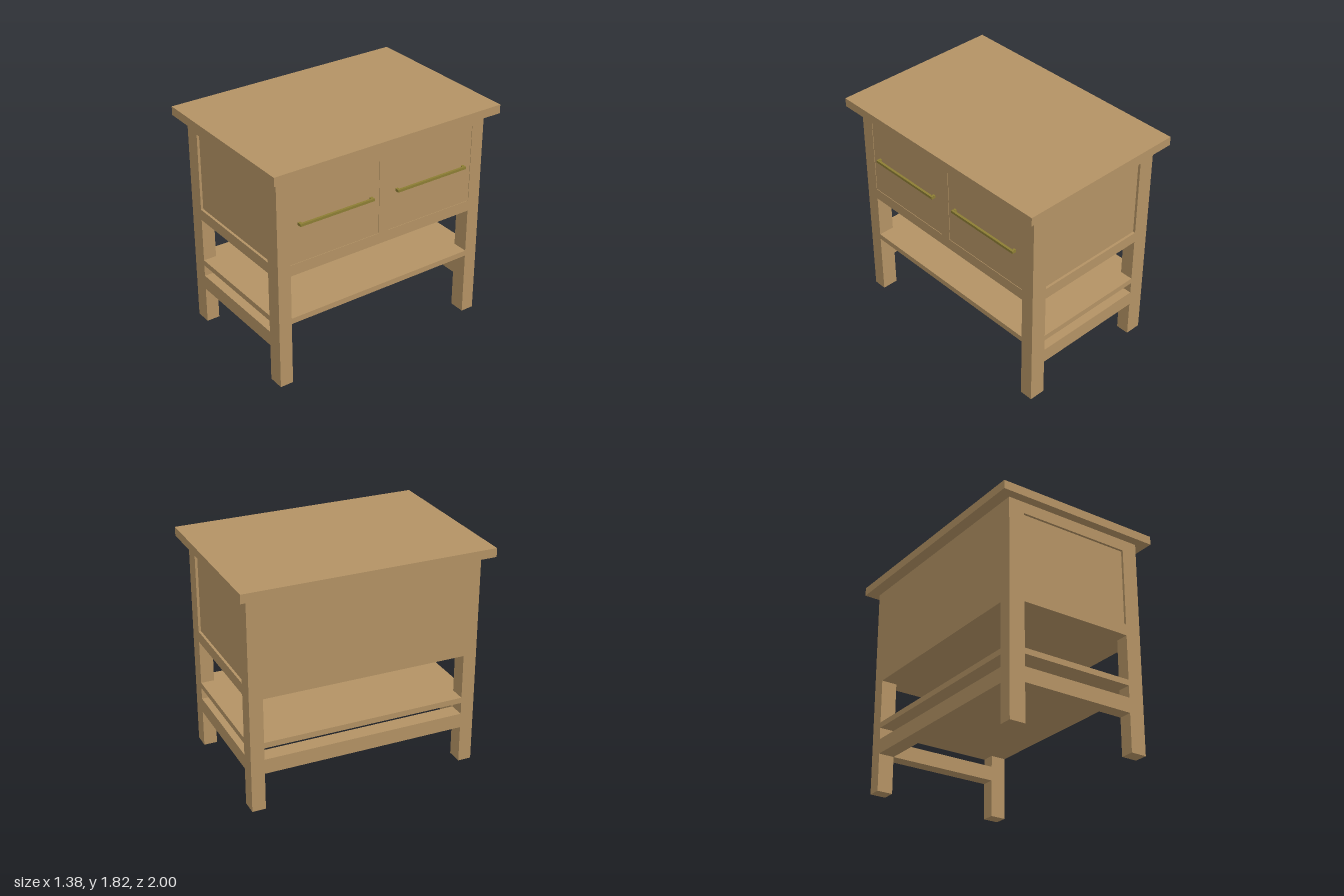
import * as THREE from 'three';

export function createModel() {
  const wood = new THREE.MeshStandardMaterial({ color: 0xb39264 });
  wood.name = 'wood';
  const brass = new THREE.MeshStandardMaterial({ color: 0x8c7d34 });
  brass.name = 'brass';

  const model = new THREE.Group();
  model.name = 'sideTable';

  // Box given by its limits on each axis
  function box(name, [x0, x1], [y0, y1], [z0, z1], material = wood, parent = model) {
    const mesh = new THREE.Mesh(new THREE.BoxGeometry(x1 - x0, y1 - y0, z1 - z0), material);
    mesh.position.set((x0 + x1) / 2, (y0 + y1) / 2, (z0 + z1) / 2);
    mesh.name = name;
    parent.add(mesh);
  }
  // Range on the positive or negative side of an axis
  const side = (s, a, b) => (s > 0 ? [a, b] : [-b, -a]);

  const X = 0.598, XI = 0.468;    // outer and inner faces of the legs, across
  const Z = 0.928, ZI = 0.82;     // outer and inner faces of the legs, along
  const TOP = 1.745, BASE = 0.928; // cabinet height range
  const PANEL = [1.018, 1.652];   // panel and drawer height range

  box('tableTop', [-0.692, 0.692], [TOP, 1.815], [-1, 1]);

  // Legs run the full height
  for (const sx of [-1, 1]) for (const sz of [-1, 1])
    box('leg', side(sx, XI, X), [0, TOP], side(sz, ZI, Z));

  // Cabinet core and plain back side
  box('cabinetCore', [-XI, XI], [BASE, TOP], [-ZI, ZI]);
  box('plainSide', [-X, -XI], [BASE, TOP], [-ZI, ZI]);

  // Ends: frame rails around a recessed panel, and a low stretcher
  for (const s of [-1, 1]) {
    box('endTopRail', [-XI, XI], [PANEL[1], TOP], side(s, ZI, Z));
    box('endBottomRail', [-XI, XI], [BASE, PANEL[0]], side(s, ZI, Z));
    box('endPanel', [-XI, XI], PANEL, side(s, ZI, Z - 0.02));
    box('endStretcher', [-XI, XI], [0.305, 0.425], side(s, ZI, Z));
  }
  box('sideStretcher', [-X, -XI], [0.305, 0.425], [-ZI, ZI]);

  // Drawer side: rails, centre stile, drawers and handles
  box('drawerTopRail', [XI, X], [PANEL[1], TOP], [-ZI, ZI]);
  box('drawerBottomRail', [XI, X], [BASE, PANEL[0]], [-ZI, ZI]);
  box('drawerStile', [XI, X], PANEL, [-0.042, 0.042]);
  for (const s of [-1, 1]) {
    box('drawerFront', [XI, X - 0.004], PANEL, side(s, 0.042, ZI));
    const handle = new THREE.Group();
    handle.name = 'handle';
    model.add(handle);
    box('handleBar', [0.611, 0.63], [1.325, 1.345], side(s, 0.107, 0.752), brass, handle);
    for (const z of [0.107, 0.73])
      box('handlePost', [X - 0.006, 0.612], [1.324, 1.346], side(s, z, z + 0.022), brass, handle);
  }

  // Shelf notched around the legs
  const outline = [
    [-XI, -Z], [XI, -Z], [XI, -ZI], [X, -ZI], [X, ZI], [XI, ZI],
    [XI, Z], [-XI, Z], [-XI, ZI], [-X, ZI], [-X, -ZI], [-XI, -ZI],
  ].map(([x, z]) => new THREE.Vector2(x, z));
  const shelf = new THREE.Mesh(
    new THREE.ExtrudeGeometry(new THREE.Shape(outline), { depth: 0.046, bevelEnabled: false }), wood);
  shelf.rotation.x = -Math.PI / 2;
  shelf.position.y = 0.521;
  shelf.name = 'shelf';
  model.add(shelf);

  return model;
}
